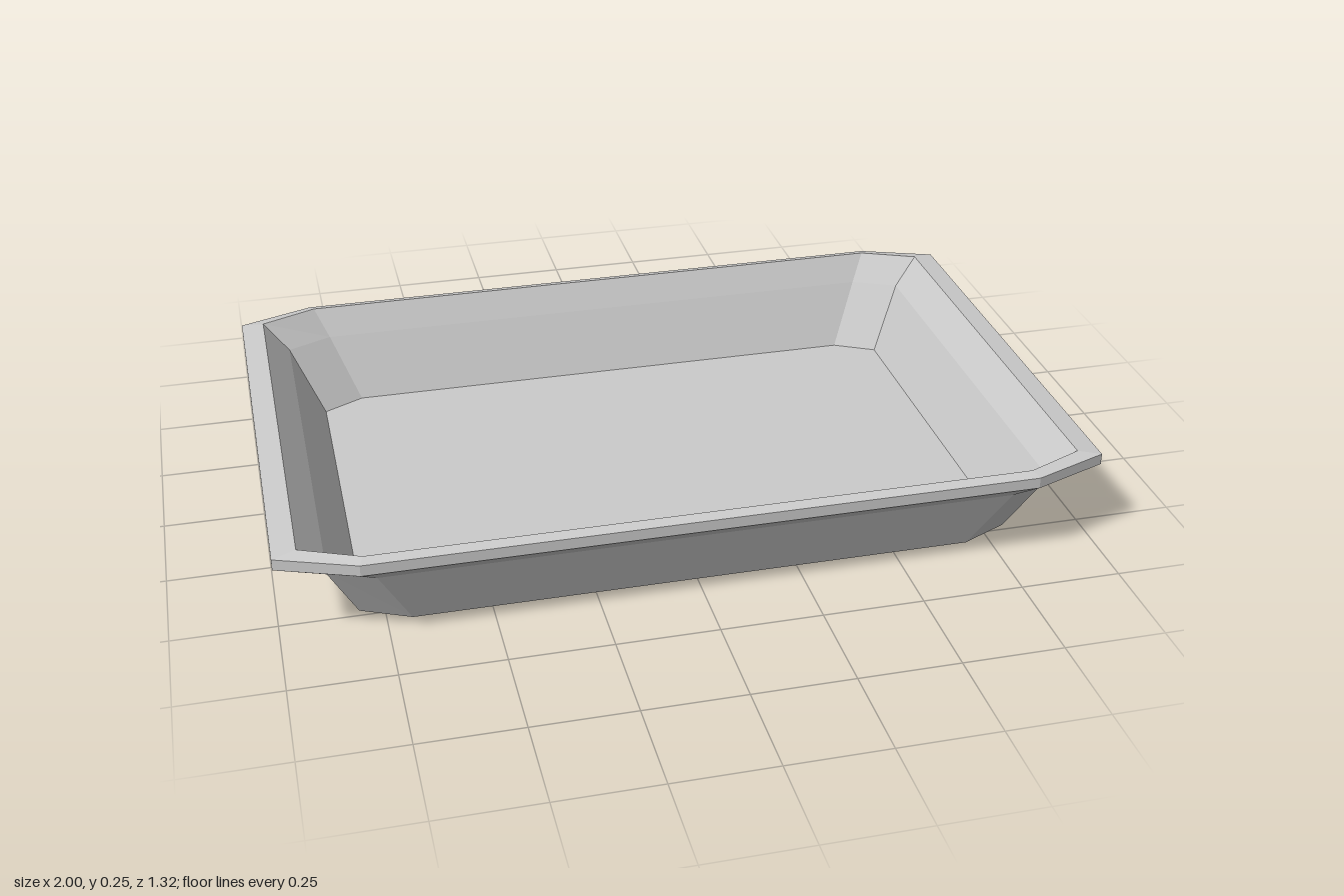
import * as THREE from 'three';

// Octagonal ring: half sizes x, z and the points where the corners are cut (cx, cz)
function ring(y, x, z, cx, cz) {
  return [[x, -cz], [x, cz], [cx, z], [-cx, z], [-x, cz], [-x, -cz], [-cx, -z], [cx, -z]]
    .map(([px, pz]) => new THREE.Vector3(px, y, pz));
}

// Joins successive rings with quads; ordered bottom to top, faces point outwards
function loft(rings) {
  const pos = [];
  const tri = (...pts) => pts.forEach((p) => pos.push(p.x, p.y, p.z));
  for (let r = 0; r < rings.length - 1; r++) {
    const a = rings[r], b = rings[r + 1], n = a.length;
    for (let i = 0; i < n; i++) {
      const j = (i + 1) % n;
      tri(a[i], b[i], b[j]);
      tri(a[i], b[j], a[j]);
    }
  }
  return pos;
}

// Flat cap over a ring, facing up or down
function cap(points, up) {
  const pos = [];
  for (let i = 1; i < points.length - 1; i++) {
    const t = up ? [points[0], points[i + 1], points[i]] : [points[0], points[i], points[i + 1]];
    t.forEach((p) => pos.push(p.x, p.y, p.z));
  }
  return pos;
}

export function createModel() {
  const group = new THREE.Group();
  group.name = 'tray';
  const material = new THREE.MeshStandardMaterial({ color: 0xcccccc, flatShading: true });

  const add = (name, positions) => {
    const g = new THREE.BufferGeometry();
    g.setAttribute('position', new THREE.Float32BufferAttribute(positions, 3));
    g.computeVertexNormals();
    const mesh = new THREE.Mesh(g, material);
    mesh.name = name;
    group.add(mesh);
  };

  const outerBase = ring(0, 0.81, 0.535, 0.69, 0.48);
  const outerNeck = ring(0.17, 0.885, 0.605, 0.77, 0.55);
  const rimBottom = ring(0.217, 1, 0.66, 0.81, 0.59);
  const rimEdge = ring(0.245, 1, 0.66, 0.81, 0.59);
  const rimInner = ring(0.252, 0.943, 0.633, 0.8, 0.572);
  const innerNeck = ring(0.178, 0.88, 0.598, 0.765, 0.545);
  const innerFloor = ring(0.01, 0.8, 0.532, 0.695, 0.477);

  add('base', cap(outerBase, false));
  add('outerWall', loft([outerBase, outerNeck]));
  add('rim', loft([outerNeck, rimBottom, rimEdge, rimInner]));
  add('innerWall', loft([rimInner, innerNeck, innerFloor]));
  add('floor', cap(innerFloor, true));
  return group;
}
